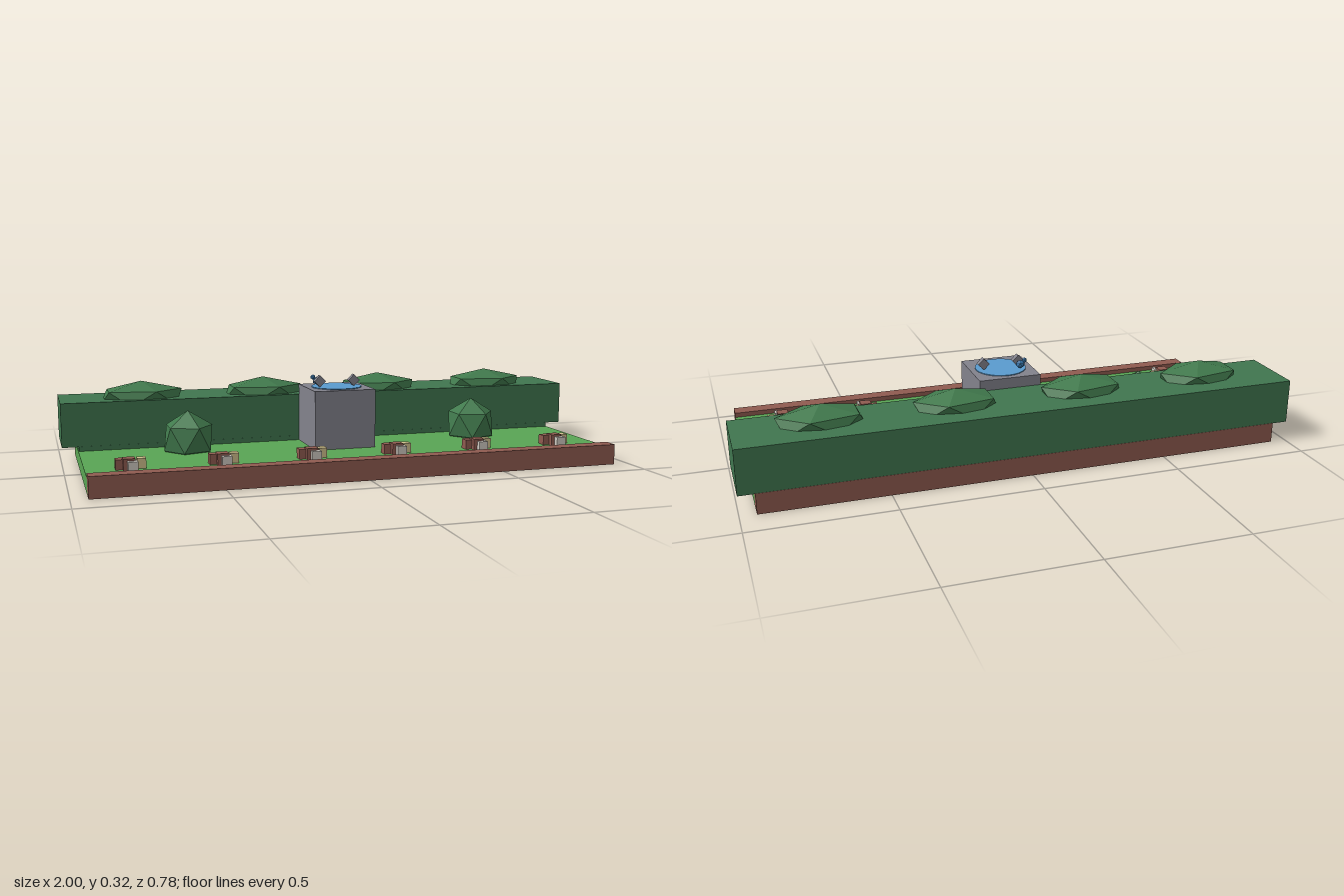
import * as THREE from 'three';

function material(name, color) {
  const m = new THREE.MeshStandardMaterial({ color });
  m.name = name;
  m.flatShading = true;
  return m;
}

export function createModel() {
  const lawnGreen = material('lawnGreen', 0x59a554);
  const hedgeGreen = material('hedgeGreen', 0x40764f);
  const bushGreen = material('bushGreen', 0x417a4d);
  const brick = material('brick', 0x8f5b50);
  const stone = material('stone', 0x82828c);
  const water = material('water', 0x5a9bcf);
  const birdBlue = material('birdBlue', 0x3f84be);
  const tan = material('tan', 0xd0c08c);
  const white = material('white', 0xcfcac2);

  const garden = new THREE.Group();
  garden.name = 'garden';

  function add(name, geometry, mat, x, y, z, parent = garden) {
    const mesh = new THREE.Mesh(geometry, mat);
    mesh.name = name;
    mesh.position.set(x, y, z);
    parent.add(mesh);
    return mesh;
  }

  // Box given by its centre in x and z and its bottom height
  function box(name, mat, w, h, d, x, y, z, parent) {
    return add(name, new THREE.BoxGeometry(w, h, d), mat, x, y + h / 2, z, parent);
  }

  // Faceted ball with one corner pointing straight up
  function ball(rx, ry, rz) {
    const g = new THREE.IcosahedronGeometry(1, 0);
    g.rotateZ(-Math.atan(2 / (1 + Math.sqrt(5))));
    g.scale(rx, ry, rz);
    return g;
  }

  // Ground and brick edging
  box('lawn', lawnGreen, 1.886, 0.057, 0.67, 0, 0, 0);
  for (const s of [1, -1]) {
    box(s > 0 ? 'frontBrickEdge' : 'backBrickEdge', brick, 1.886, 0.074, 0.055, 0, 0, s * 0.3615);
  }

  // Hedge on a narrower foot, with leafy mounds along the top
  box('hedgeFoot', hedgeGreen, 1.88, 0.017, 0.2, 0, 0.057, -0.235);
  box('hedge', hedgeGreen, 2, 0.161, 0.252, 0, 0.073, -0.262);
  for (let i = 0; i < 4; i++) {
    add('hedgeMound', ball(0.17, 0.06, 0.099), bushGreen, -0.7 + i * 0.4667, 0.235, -0.235);
  }

  // Round bushes on the lawn
  for (const s of [-1, 1]) {
    add('bush', ball(0.099, 0.1, 0.099), bushGreen, s * 0.557, 0.105, -0.039);
  }

  // Stone pedestal with a shallow pool
  box('pedestal', stone, 0.23, 0.216, 0.232, 0, 0.057, -0.021);
  add('pool', new THREE.CylinderGeometry(0.094, 0.094, 0.004, 24), water, 0, 0.274, -0.021);
  for (const s of [-1, 1]) {
    const block = add('poolStone', new THREE.BoxGeometry(0.031, 0.031, 0.022), stone, s * 0.066, 0.296, -0.021);
    block.rotation.z = Math.PI / 4;
  }

  // Small bird by the pool
  const bird = new THREE.Group();
  bird.name = 'bird';
  bird.position.set(-0.064, 0.293, -0.06);
  garden.add(bird);
  add('birdBody', ball(0.018, 0.016, 0.016), birdBlue, 0, 0, 0, bird);
  add('birdHead', ball(0.01, 0.01, 0.01), birdBlue, -0.016, 0.014, 0, bird);

  // Row of small flower clusters
  for (let i = 0; i < 6; i++) {
    const cluster = new THREE.Group();
    cluster.name = 'flowerCluster';
    cluster.position.set(-0.7875 + i * 0.315, 0.057, 0);
    garden.add(cluster);
    box('redFlower', brick, 0.037, 0.035, 0.037, -0.037, 0, 0.219, cluster);
    box('tallRedFlower', brick, 0.04, 0.04, 0.04, -0.012, 0, 0.237, cluster);
    box('tanFlower', tan, 0.03, 0.035, 0.034, 0.031, 0, 0.216, cluster);
    box('whiteFlower', white, 0.034, 0.033, 0.034, -0.002, 0, 0.26, cluster);
  }

  return garden;
}
